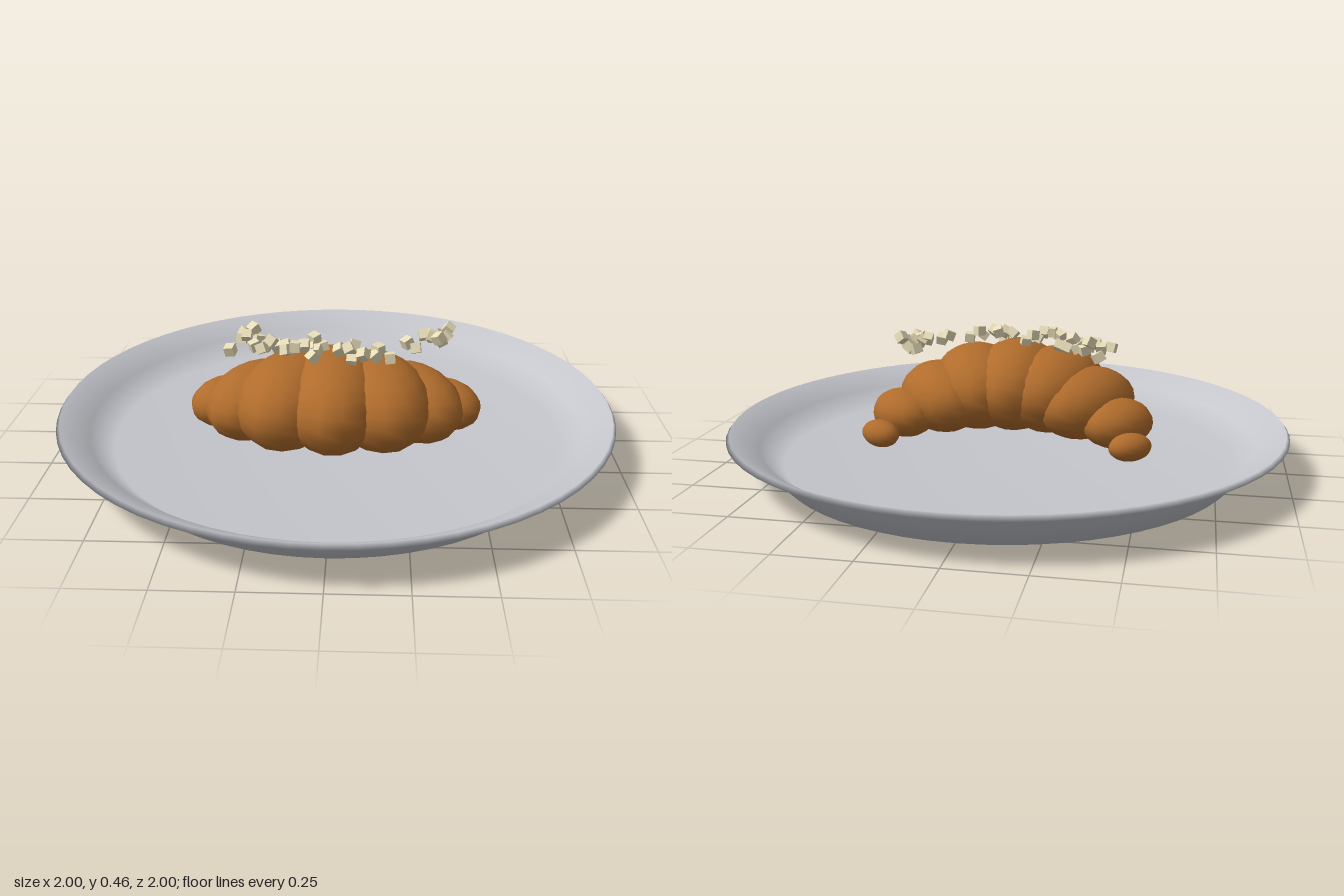
import * as THREE from 'three';

const plateGrey = new THREE.MeshStandardMaterial({ color: 0xc4c6cc });
plateGrey.name = 'plateGrey';
const crustBrown = new THREE.MeshStandardMaterial({ color: 0xb06c2c });
crustBrown.name = 'crustBrown';
const almondCream = new THREE.MeshStandardMaterial({ color: 0xeadfba });
almondCream.name = 'almondCream';

// Small seeded generator for the topping
function seeded(seed) {
  return () => {
    seed = (seed * 16807) % 2147483647;
    return seed / 2147483647;
  };
}

function add(parent, name, geometry, material) {
  const mesh = new THREE.Mesh(geometry, material);
  mesh.name = name;
  parent.add(mesh);
  return mesh;
}

// Shallow dish with a flared rim, turned from underside to inner floor
function makePlate() {
  const profile = [
    [0, 0], [0.82, 0], [0.90, 0.085], [1, 0.143], [0.988, 0.158],
    [0.89, 0.1], [0.81, 0.03], [0, 0.03],
  ].map(([r, y]) => new THREE.Vector2(r, y));
  return new THREE.LatheGeometry(profile, 64);
}

// Crescent of overlapping ellipsoids, shrinking towards both tips
function makePastry() {
  const pastry = new THREE.Group();
  pastry.name = 'pastry';
  // x, y, z of the centre, then tangential, vertical and radial radius
  const segments = [
    [0, 0.24, 0.19, 0.18, 0.17, 0.285],
    [0.15, 0.23, 0.175, 0.18, 0.16, 0.265],
    [0.275, 0.198, 0.11, 0.155, 0.132, 0.225],
    [0.40, 0.15, 0.02, 0.11, 0.09, 0.14],
    [0.455, 0.10, -0.105, 0.055, 0.05, 0.08],
  ];
  const ball = new THREE.SphereGeometry(1, 14, 12);
  segments.forEach(([x, y, z, rx, ry, rz], i) => {
    for (const side of i ? [1, -1] : [1]) {
      const name = i === 4 ? 'pastryTip' : 'pastrySegment';
      const mesh = add(pastry, name, ball, crustBrown);
      mesh.position.set(side * x, y, z);
      mesh.scale.set(rx, ry, rz);
      mesh.rotation.y = side * i * Math.PI / 12;
    }
  });
  return pastry;
}

// Little tumbled cubes scattered over the crescent
function makeTopping() {
  const topping = new THREE.Group();
  topping.name = 'topping';
  const rand = seeded(77);
  const spots = [
    [-0.33, -0.03], [-0.36, 0.15], [-0.33, 0.07], [-0.29, 0.04], [-0.31, 0.08],
    [-0.27, 0.06], [-0.28, 0.12], [-0.24, 0.11], [-0.25, 0.15], [-0.22, 0.13],
    [-0.20, 0.11], [-0.17, 0.12], [-0.07, 0.13], [-0.04, 0.14], [-0.08, 0.18],
    [-0.16, 0.21], [-0.13, 0.21], [-0.10, 0.20], [-0.07, 0.24], [-0.06, 0.19],
    [0.02, 0.21], [0.05, 0.21], [0.07, 0.18], [0.06, 0.24], [0.10, 0.25],
    [0.14, 0.23], [0.15, 0.21], [0.19, 0.22], [0.25, 0.13], [0.28, 0.14],
    [0.34, -0.01], [0.37, 0.0], [0.40, 0.01], [0.33, 0.04], [0.36, 0.03],
    [0.39, 0.04], [0.34, 0.06], [0.37, 0.07], [0.31, 0.05], [0.36, 0.09],
  ];
  const cube = new THREE.BoxGeometry(0.034, 0.034, 0.034);
  for (const [x, z] of spots) {
    const mesh = add(topping, 'sugarCube', cube, almondCream);
    mesh.position.set(x, 0.4 + rand() * 0.04, z);
    mesh.rotation.set(rand() * 3, rand() * 3, rand() * 3);
  }
  return topping;
}

export function createModel() {
  const model = new THREE.Group();
  model.name = 'pastryOnPlate';
  add(model, 'plate', makePlate(), plateGrey);
  model.add(makePastry(), makeTopping());
  return model;
}
